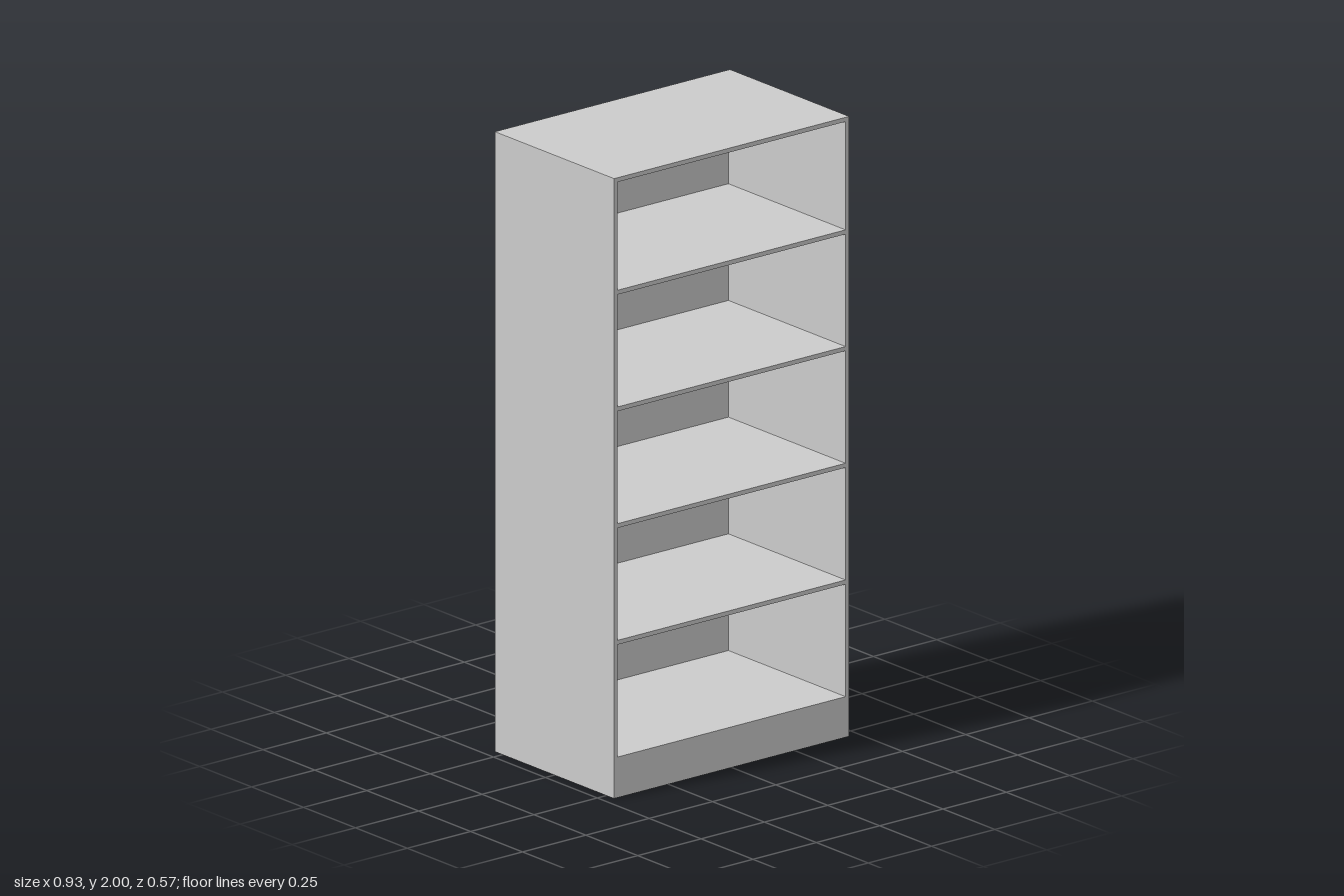
import * as THREE from 'three';

const W = 0.928, H = 2, D = 0.574; // overall size
const T = 0.014;                   // board thickness
const SHEET = 0.004;               // thin bottom sheet

export function createModel() {
  const group = new THREE.Group();
  group.name = 'bookcase';
  const material = new THREE.MeshStandardMaterial({ color: 0xcccccc, flatShading: true });

  // Board given by its size, lower edge and position
  function board(name, w, h, d, bottom, x = 0, z = 0) {
    const mesh = new THREE.Mesh(new THREE.BoxGeometry(w, h, d), material);
    mesh.name = name;
    mesh.position.set(x, bottom + h / 2, z);
    group.add(mesh);
  }

  // Outer case
  const inner = W - 2 * T;
  for (const [name, s] of [['leftSide', 1], ['rightSide', -1]]) {
    board(name, T, H - SHEET, D, SHEET, s * (W - T) / 2);
  }
  board('top', inner, T, D, H - T);
  board('bottomSheet', W, SHEET, D, 0);
  const back = 0.01;
  board('backPanel', inner, H - T - SHEET, back, SHEET, 0, (back - D) / 2);

  // Bottom shelf and the plinth board below it
  const firstShelf = 0.117;
  board('plinth', inner, firstShelf - SHEET, T, SHEET, 0, (D - T) / 2);

  // Evenly spaced shelves, flush with the front edge
  const pitch = 0.3765, shelfDepth = D - back;
  for (let i = 0; i < 5; i++) {
    board(`shelf${i + 1}`, inner, T, shelfDepth, firstShelf + i * pitch, 0, back / 2);
  }

  return group;
}
